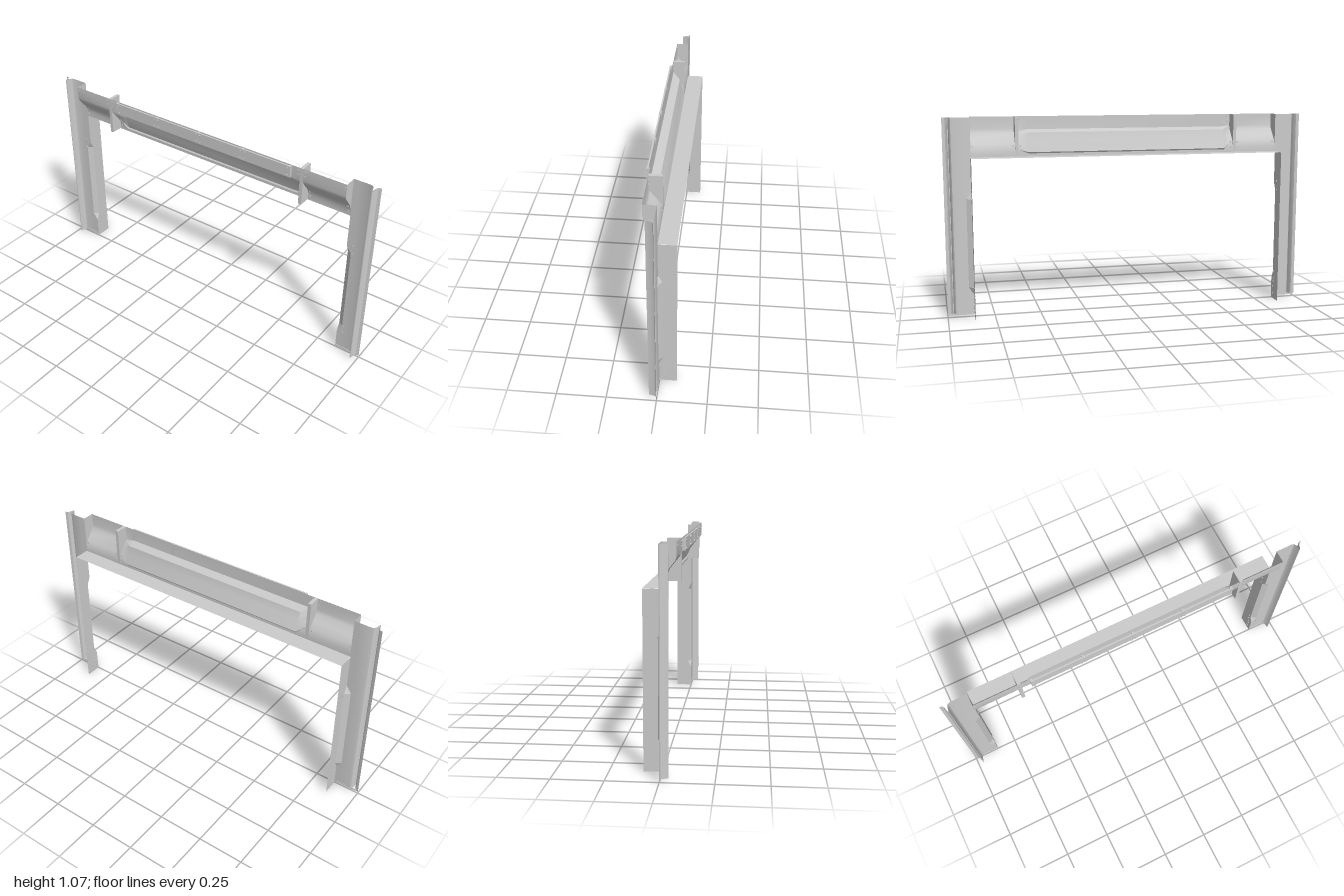
import * as THREE from 'three';
import { toCreasedNormals } from 'three/addons/utils/BufferGeometryUtils.js';

const metal = new THREE.MeshStandardMaterial({ color: 0xcccccc, side: THREE.DoubleSide });

// Thin sheet lofted through rows of [x, y, z] points
function sheet(name, rows, crease = 0.6) {
  const n = rows[0].length, index = [];
  for (let i = 0; i < rows.length - 1; i++) {
    for (let j = 0; j < n - 1; j++) {
      const a = i * n + j, b = a + n;
      index.push(a, b, a + 1, b, b + 1, a + 1);
    }
  }
  const geo = new THREE.BufferGeometry();
  geo.setAttribute('position', new THREE.Float32BufferAttribute(rows.flat(2), 3));
  geo.setIndex(index);
  const mesh = new THREE.Mesh(toCreasedNormals(geo, crease), metal);
  mesh.name = name;
  return mesh;
}

function box(name, w, h, d, x, y, z) {
  const mesh = new THREE.Mesh(new THREE.BoxGeometry(w, h, d), metal);
  mesh.name = name;
  mesh.position.set(x, y, z);
  return mesh;
}

// Small screw head, pointing forward or toward the doorway
function screw(x, y, z, inward = false, r = 0.005) {
  const geo = new THREE.CylinderGeometry(r, r, 0.005, 10);
  if (inward) geo.rotateZ(Math.PI / 2); else geo.rotateX(Math.PI / 2);
  const mesh = new THREE.Mesh(geo, metal);
  mesh.name = 'screw';
  mesh.position.set(x, y, z);
  return mesh;
}

// Left side post; the right one is its mirror image
function post() {
  const g = new THREE.Group();

  // Face plate with an outer ridge, running the full height
  const face = [[0.885, 0], [0.945, 0], [0.956, 0.004], [0.963, 0.015], [0.967, 0.04],
    [0.971, 0.04], [0.977, 0.015], [0.984, 0.004], [1, 0]];
  g.add(sheet('postFace', [0.01, 1.07].map(y => face.map(([x, z]) => [x, y, z]))));

  // Doorway corner: square at the ends, chamfered along the middle
  const corner = [[0, 0], [0.12, 0], [0.16, 1], [0.64, 1], [0.68, 0], [0.858, 0]];
  g.add(sheet('postReturn', corner.map(([y, t]) => [
    [0.885, Math.max(y, 0.01), 0],
    [0.858 + 0.027 * t, Math.max(y, 0.01), 0],
    [0.858, y, -0.02 * t],
    [0.858, y, -0.09],
  ]), 0.25));
  g.add(sheet('postUpperEdge', [0.858, 1.07].map(y => [[0.885, y, 0], [0.855, y, 0]])));

  // Foot strip
  g.add(box('footStrip', 0.13, 0.008, 0.004, 0.925, 0.014, 0.001));

  for (const y of [0.03, 0.07, 0.1]) g.add(screw(0.857, y, -0.025, true, 0.007));
  for (const y of [0.12, 0.16, 0.64, 0.69]) {
    g.add(screw(0.857, y, -0.035, true));
    g.add(screw(0.89, y, 0.001));
  }
  return g;
}

// Vertical rib crossing the header, with its seam screws
function rib() {
  const g = new THREE.Group();
  g.add(box('ribPlate', 0.018, 0.205, 0.068, 0.612, 0.9675, 0.033));
  for (const x of [0.592, 0.632]) {
    for (const [y, z] of [[0.885, 0.001], [0.915, 0.007], [1.03, 0.066], [1.055, 0.066]]) g.add(screw(x, y, z));
  }
  for (const [y, z] of [[0.88, 0.001], [0.915, 0.007], [1.05, 0.066]]) g.add(screw(0.845, y, z));
  return g;
}

export function createModel() {
  const root = new THREE.Group();
  root.name = 'doorFrame';

  for (const side of [1, -1]) {
    const p = post();
    p.name = side > 0 ? 'leftPost' : 'rightPost';
    p.scale.x = side;
    const r = rib();
    r.name = side > 0 ? 'leftRib' : 'rightRib';
    r.scale.x = side;
    root.add(p, r);
  }

  // Header sheet: curved at the ends, blending into a recessed middle panel
  const curved = [[0.86, 0], [0.895, 0], [0.925, 0.012], [0.955, 0.036], [0.985, 0.06], [1.005, 0.066], [1.07, 0.066]];
  const panel = [[0.86, 0], [0.875, 0], [0.882, -0.005], [0.945, 0.012], [0.985, 0.024], [1.0, 0.066], [1.07, 0.066]];
  const section = (pts, x) => pts.map(([y, z]) => [x, y, z]);
  root.add(sheet('headerSheet', [
    section(curved, -0.855), section(curved, -0.6), section(panel, -0.55),
    section(panel, 0.55), section(curved, 0.6), section(curved, 0.855),
  ]));

  // Soffit under the header
  root.add(sheet('soffit', [-0.858, 0.858].map(x => [[x, 0.86, 0], [x, 0.86, -0.09]])));

  // End plates closing the space behind the curve
  for (const x of [-0.855, 0.855]) {
    root.add(sheet('headerEndPlate', [
      section(curved, x),
      curved.map(([y]) => [x, y, 0]),
    ]));
  }

  // Four front strips with brackets over their joints
  for (let i = 0; i < 4; i++) {
    root.add(box('frontStrip', 0.268, 0.062, 0.008, -0.4125 + i * 0.275, 1.036, 0.077));
  }
  for (let i = 0; i < 5; i++) {
    const x = -0.55 + i * 0.275;
    root.add(box('stripBracket', 0.012, 0.062, 0.016, x, 1.036, 0.074));
    for (const dx of [-0.012, 0.012]) {
      for (const y of [1.015, 1.055]) {
        if (Math.abs(x + dx) < 0.55) root.add(screw(x + dx, y, 0.083));
      }
    }
  }
  return root;
}
